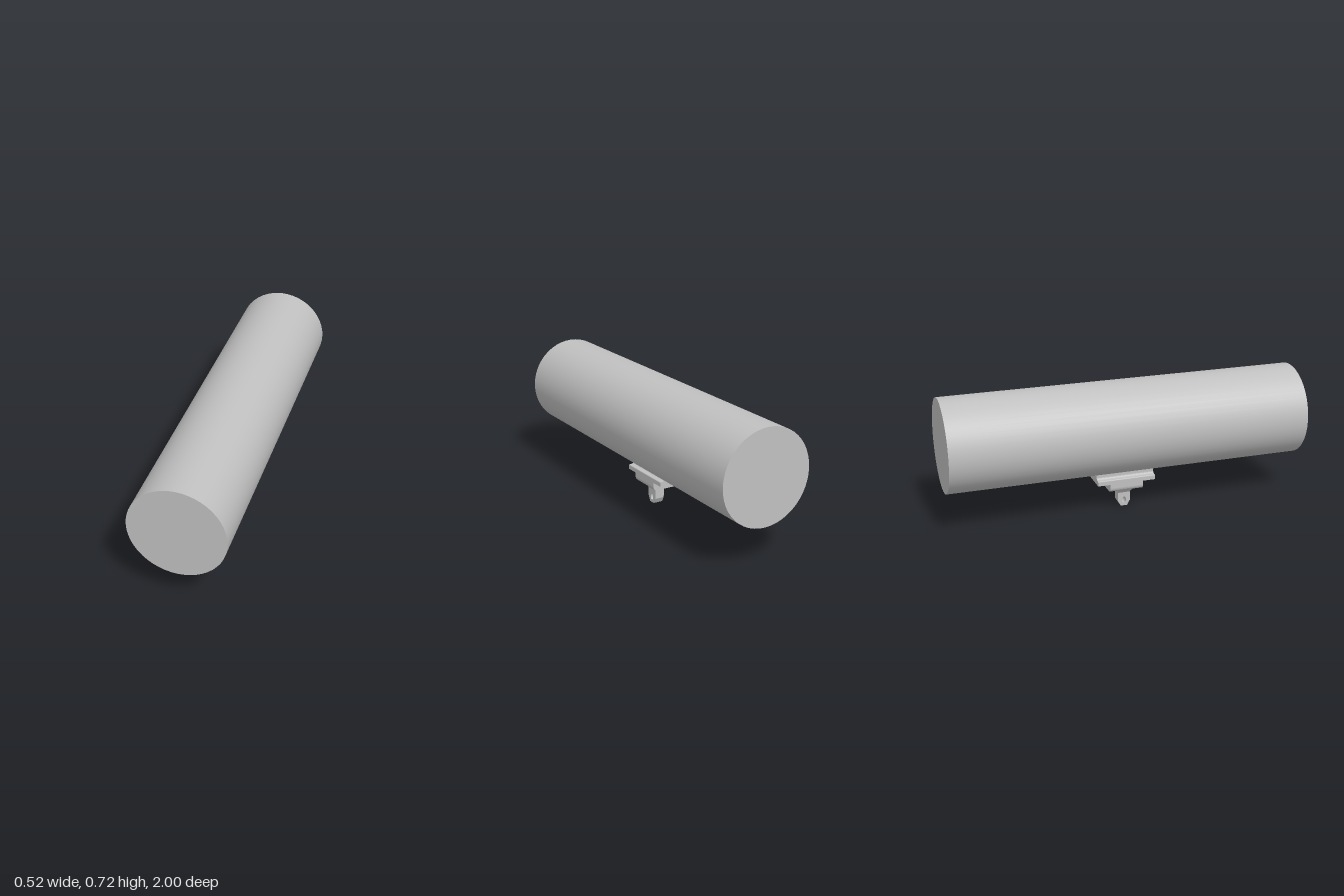
import * as THREE from 'three';

export function createModel() {
  const model = new THREE.Group();
  const grey = new THREE.MeshStandardMaterial({ color: 0xc0c0c0 });
  grey.name = 'plain grey';

  function add(name, geometry, parent = model) {
    const mesh = new THREE.Mesh(geometry, grey);
    mesh.name = name;
    parent.add(mesh);
    return mesh;
  }

  function extrude(shape, depth) {
    const g = new THREE.ExtrudeGeometry(shape, { depth, bevelEnabled: false, curveSegments: 8 });
    return g.translate(0, 0, -depth / 2);
  }

  // Main tube, turned very slightly off the mount's axis
  const body = new THREE.CylinderGeometry(0.255, 0.255, 1.998, 48).rotateX(Math.PI / 2);
  const tube = add('tubeBody', body);
  tube.position.y = 0.467;
  tube.rotation.y = -0.005;

  const mount = new THREE.Group();
  mount.name = 'mount';
  model.add(mount);

  // Long upper clamp: two rails under the tube, with a slot between them
  const upper = new THREE.Shape();
  upper.moveTo(-0.077, 0.156);
  upper.lineTo(0.077, 0.156);
  upper.lineTo(0.077, 0.177);
  upper.quadraticCurveTo(0.077, 0.183, 0.071, 0.183);
  upper.lineTo(0.061, 0.183);
  upper.quadraticCurveTo(0.049, 0.184, 0.048, 0.196);
  upper.lineTo(0.048, 0.219);
  upper.lineTo(0.022, 0.219);
  upper.lineTo(0.022, 0.198);
  upper.lineTo(-0.022, 0.198);
  upper.lineTo(-0.022, 0.219);
  upper.lineTo(-0.048, 0.219);
  upper.lineTo(-0.048, 0.196);
  upper.quadraticCurveTo(-0.049, 0.184, -0.061, 0.183);
  upper.lineTo(-0.071, 0.183);
  upper.quadraticCurveTo(-0.077, 0.183, -0.077, 0.177);
  upper.closePath();
  add('upperClamp', extrude(upper, 0.33), mount);

  // Shorter lower clamp with rounded bottom edges
  const lower = new THREE.Shape();
  lower.moveTo(-0.077, 0.156);
  lower.lineTo(-0.077, 0.133);
  lower.quadraticCurveTo(-0.075, 0.109, -0.052, 0.108);
  lower.lineTo(0.052, 0.108);
  lower.quadraticCurveTo(0.075, 0.109, 0.077, 0.133);
  lower.lineTo(0.077, 0.156);
  lower.closePath();
  add('lowerClamp', extrude(lower, 0.19), mount);

  // Neck flaring from the lug up to the clamp
  const neck = new THREE.BoxGeometry(2, 1, 2, 1, 6, 1);
  const p = neck.attributes.position;
  for (let i = 0; i < p.count; i++) {
    const t = p.getY(i) + 0.5;
    p.setXYZ(i,
      p.getX(i) * (0.028 + 0.022 * t),
      0.08 + 0.029 * t,
      p.getZ(i) * (0.035 + 0.02 * t * t));
  }
  const flatNeck = neck.toNonIndexed();
  flatNeck.computeVertexNormals();
  add('neck', flatNeck, mount);

  // Lug with chamfered foot and an upright oval eye
  const lug = new THREE.Shape([
    [-0.018, 0], [0.018, 0], [0.035, 0.03], [0.035, 0.081], [-0.035, 0.081], [-0.035, 0.03],
  ].map(([x, y]) => new THREE.Vector2(x, y)));
  const eye = new THREE.Path();
  eye.absellipse(0, 0.034, 0.012, 0.019, 0, Math.PI * 2, true);
  lug.holes.push(eye);
  add('lug', extrude(lug, 0.056).rotateY(Math.PI / 2), mount);

  // Four bolt heads under the clamp
  for (const x of [-0.036, 0.036]) {
    for (const z of [-0.068, 0.068]) {
      const bolt = add('bolt', new THREE.CylinderGeometry(0.009, 0.009, 0.008, 12), mount);
      bolt.position.set(x, 0.106, z);
    }
  }
  return model;
}
